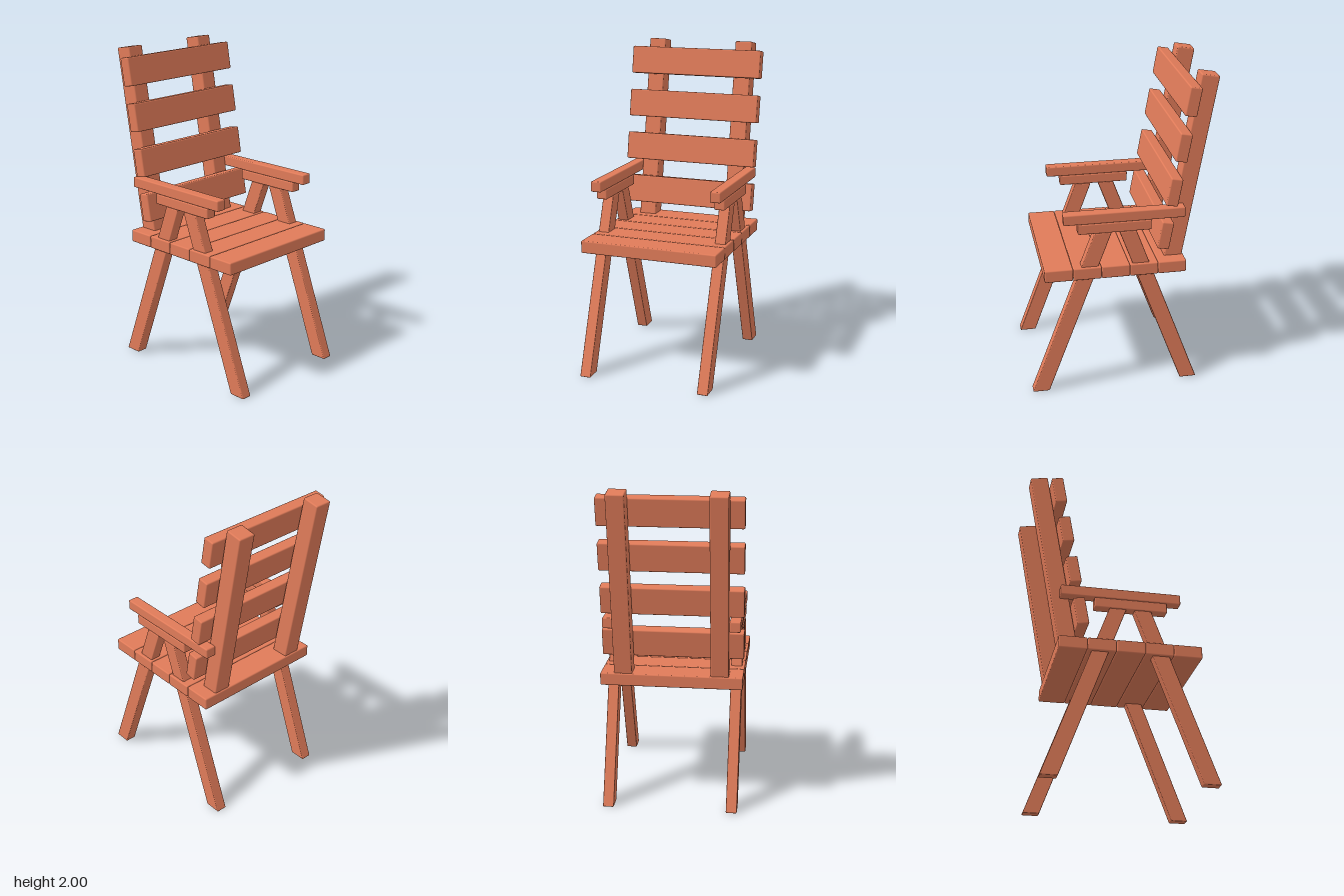
import * as THREE from 'three';
import { RoundedBoxGeometry } from 'three/addons/geometries/RoundedBoxGeometry.js';

const wood = new THREE.MeshStandardMaterial({ color: 0xe07b59 });
const TILT = THREE.MathUtils.degToRad(10); // lean of the backrest

// A softly bevelled timber of the given size, centred on its position
function timber(name, size, position, radius = 0.008) {
  const mesh = new THREE.Mesh(new RoundedBoxGeometry(...size, 2, radius), wood);
  mesh.name = name;
  mesh.position.set(...position);
  return mesh;
}

// A slanted leg with level ends: an upright timber sheared along z
function leg(name, x, zBottom, zTop) {
  const height = 1.07;
  const mesh = timber(name, [0.068, height, 0.104], [x, height / 2, (zBottom + zTop) / 2], 0.006);
  const shear = new THREE.Matrix4();
  shear.elements[6] = (zTop - zBottom) / height; // z grows with y
  mesh.geometry.applyMatrix4(shear);
  return mesh;
}

export function createModel() {
  const chair = new THREE.Group();
  chair.name = 'slattedArmchair';

  // Seat: five planks side by side
  const seat = new THREE.Group();
  seat.name = 'seat';
  for (let i = 0; i < 5; i++) {
    seat.add(timber('seatPlank', [0.87, 0.078, 0.173], [0, 0.815, 0.4 - i * 0.1745]));
  }

  // Backrest: four leaning slats
  const backrest = new THREE.Group();
  backrest.name = 'backrest';
  for (let i = 0; i < 4; i++) {
    const slat = timber('backSlat', [0.87, 0.175, 0.073], [0, 1.0275 + i * 0.2778, -0.2525 - i * 0.049]);
    slat.rotation.x = -TILT;
    backrest.add(slat);
  }

  for (const side of [1, -1]) {
    const prefix = side > 0 ? 'left' : 'right';

    // Upright post behind the slats
    const post = timber(prefix + 'BackPost', [0.11, 1.185, 0.11], [side * 0.295, 1.406, -0.417]);
    post.rotation.x = -TILT;
    backrest.add(post);

    // Crossing-stance legs, running up to the armrest
    const x = side * 0.384;
    chair.add(leg(prefix + 'FrontLeg', x, 0.525, 0.127));
    chair.add(leg(prefix + 'RearLeg', x, -0.422, -0.025));

    // Armrest on its bearer
    chair.add(timber(prefix + 'ArmBearer', [0.068, 0.065, 0.448], [x, 1.1025, 0.055]));
    chair.add(timber(prefix + 'Armrest', [0.068, 0.066, 0.74], [x, 1.168, -0.005]));
  }

  chair.add(seat, backrest);
  return chair;
}
